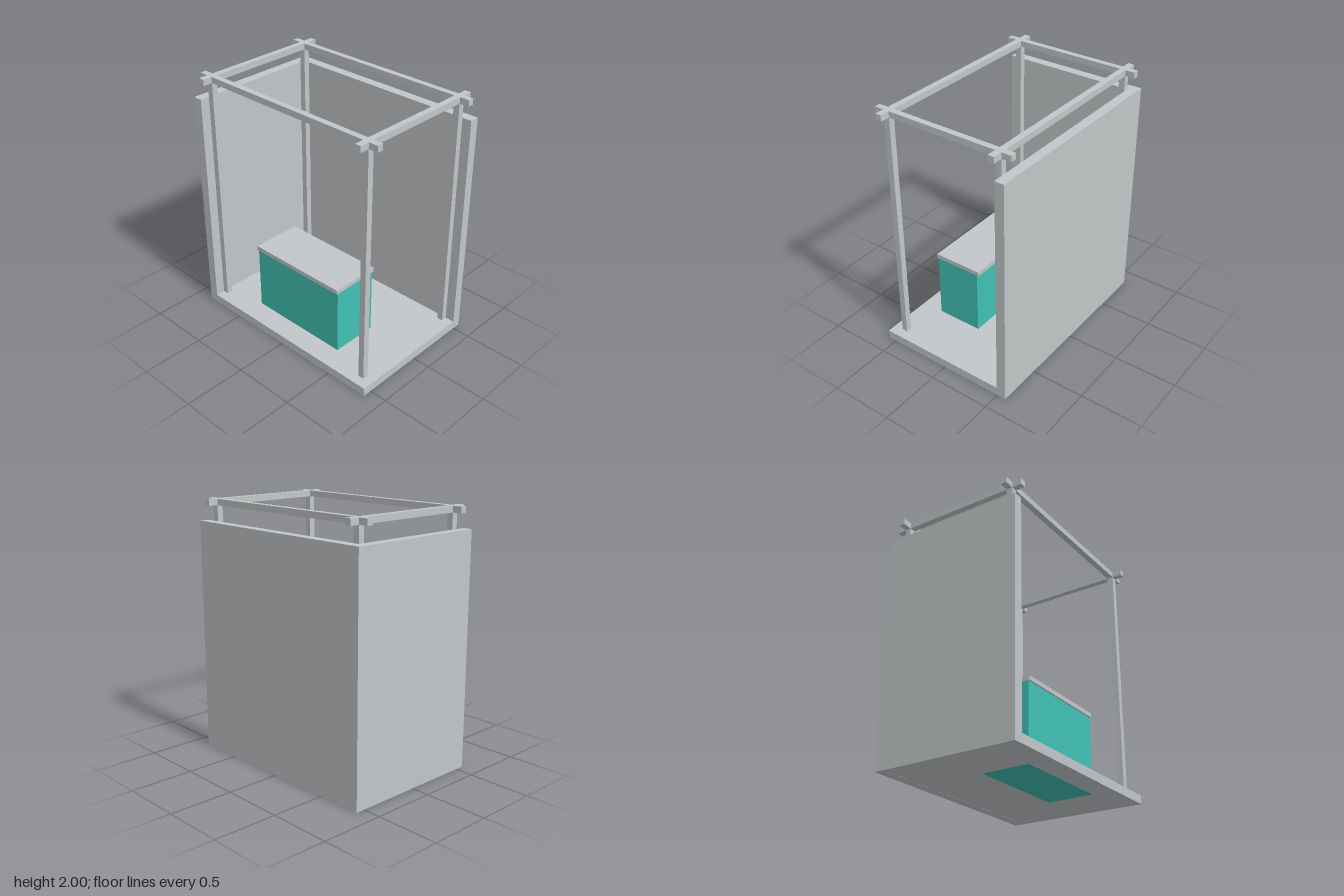
import * as THREE from 'three';

export function createModel() {
  const group = new THREE.Group();
  const grey = new THREE.MeshStandardMaterial({ color: 0xc3c7c9 });
  grey.name = 'light grey';
  const teal = new THREE.MeshStandardMaterial({ color: 0x40c2b4 });
  teal.name = 'teal';

  // Box given by its lower and upper limits on each axis
  function block(name, material, [x0, x1], [y0, y1], [z0, z1]) {
    const mesh = new THREE.Mesh(new THREE.BoxGeometry(x1 - x0, y1 - y0, z1 - z0), material);
    mesh.position.set((x0 + x1) / 2, (y0 + y1) / 2, (z0 + z1) / 2);
    mesh.name = name;
    group.add(mesh);
  }

  const W = 0.857, D = 0.571; // half width and half depth
  const wall = 0.076, floorTop = 0.07, wallTop = 1.83;
  const beam = 0.048, beamY = [1.952, 2];
  const postX = 0.757, postZ = 0.471;
  const around = (c) => [c - beam / 2, c + beam / 2];

  // Floor and the two walls, back and right
  block('floor', grey, [-W + wall, W], [0.001, floorTop], [-D + wall, D]);
  block('backWall', grey, [-W, W], [0, wallTop], [-D, -D + wall]);
  block('rightWall', grey, [-W, -W + wall], [0, wallTop], [-D + wall, D]);

  // Corner posts
  for (const sx of [-1, 1])
    for (const sz of [-1, 1])
      block('post', grey, around(sx * postX), [floorTop, beamY[0]], around(sz * postZ));

  // Crossing top beams
  for (const s of [-1, 1]) {
    block('longBeam', grey, [-W, W], beamY, around(s * postZ));
    block('crossBeam', grey, around(s * postX), beamY, [-D, D]);
  }

  // Counter, set through the floor, with its top slab
  block('counterBody', teal, [-0.428, 0.426], [0, 0.6], [0.014, 0.392]);
  block('counterTop', grey, [-0.43, 0.428], [0.6, 0.635], [-0.003, 0.404]);

  return group;
}
